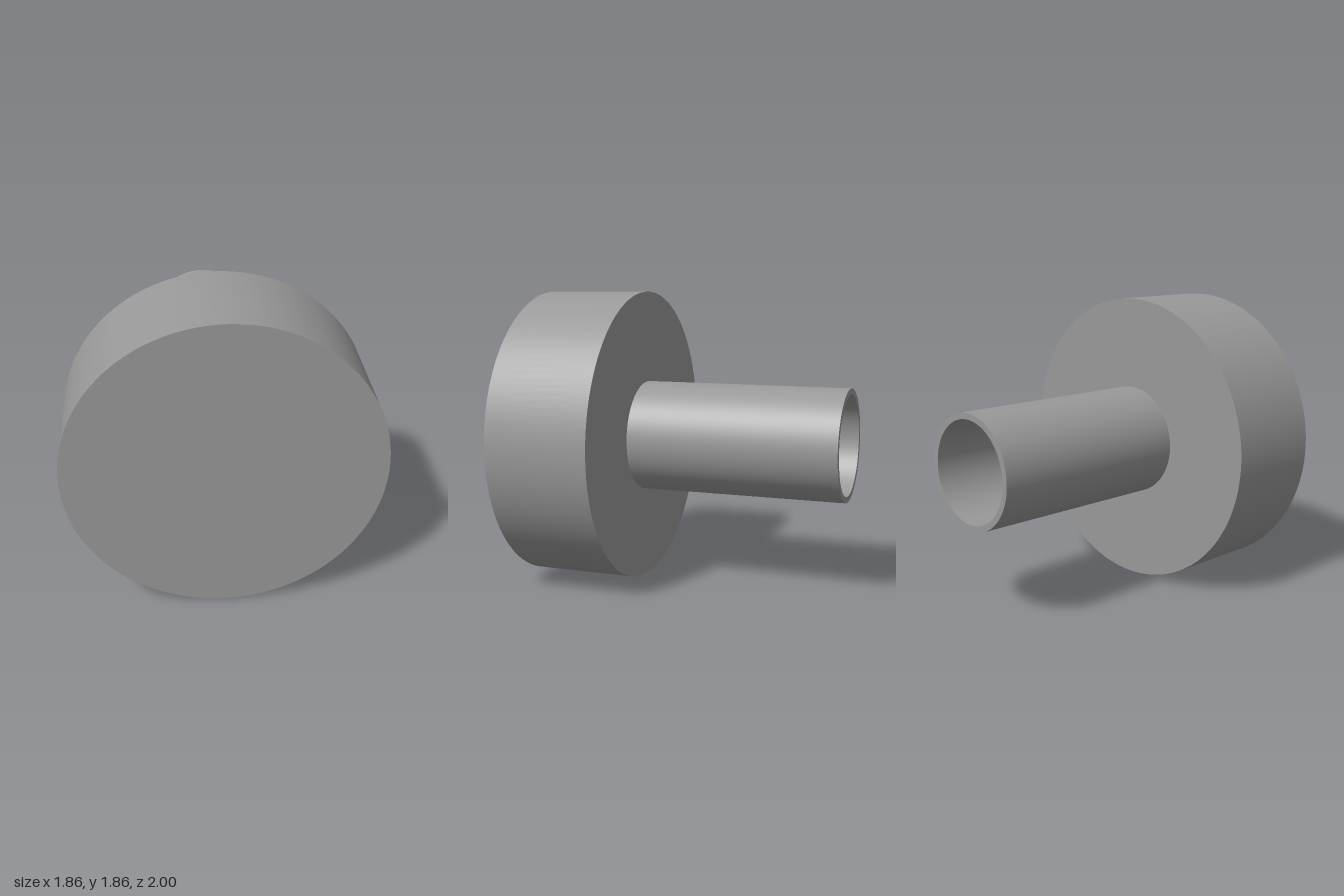
import * as THREE from 'three';
import { mergeGeometries } from 'three/addons/utils/BufferGeometryUtils.js';

const DISC_R = 0.932, TUBE_R = 0.353, BORE_R = 0.315;
const FRONT = 1, SHOULDER = 0.335, BACK = -1;

// Turns a [radius, z] profile about the z axis, keeping every corner sharp
function turned(profile) {
  const bands = profile.slice(1).map((end, i) =>
    new THREE.LatheGeometry([new THREE.Vector2(...profile[i]), new THREE.Vector2(...end)], 128));
  return mergeGeometries(bands).rotateX(Math.PI / 2);
}

export function createModel() {
  const model = new THREE.Group();
  model.name = 'flangedTube';
  const grey = new THREE.MeshStandardMaterial({ color: 0x999999 });
  grey.name = 'grey';

  const add = (name, profile) => {
    const mesh = new THREE.Mesh(turned(profile), grey);
    mesh.name = name;
    mesh.position.y = DISC_R;
    model.add(mesh);
  };

  // Solid head disc, with its back face starting at the tube wall
  add('headDisc', [[TUBE_R, SHOULDER], [DISC_R, SHOULDER], [DISC_R, FRONT], [0, FRONT]]);

  // Hollow stem: bore floor, bore wall, rim, outer wall
  add('hollowStem', [[0, SHOULDER], [BORE_R, SHOULDER], [BORE_R, BACK], [TUBE_R, BACK], [TUBE_R, SHOULDER]]);

  return model;
}
